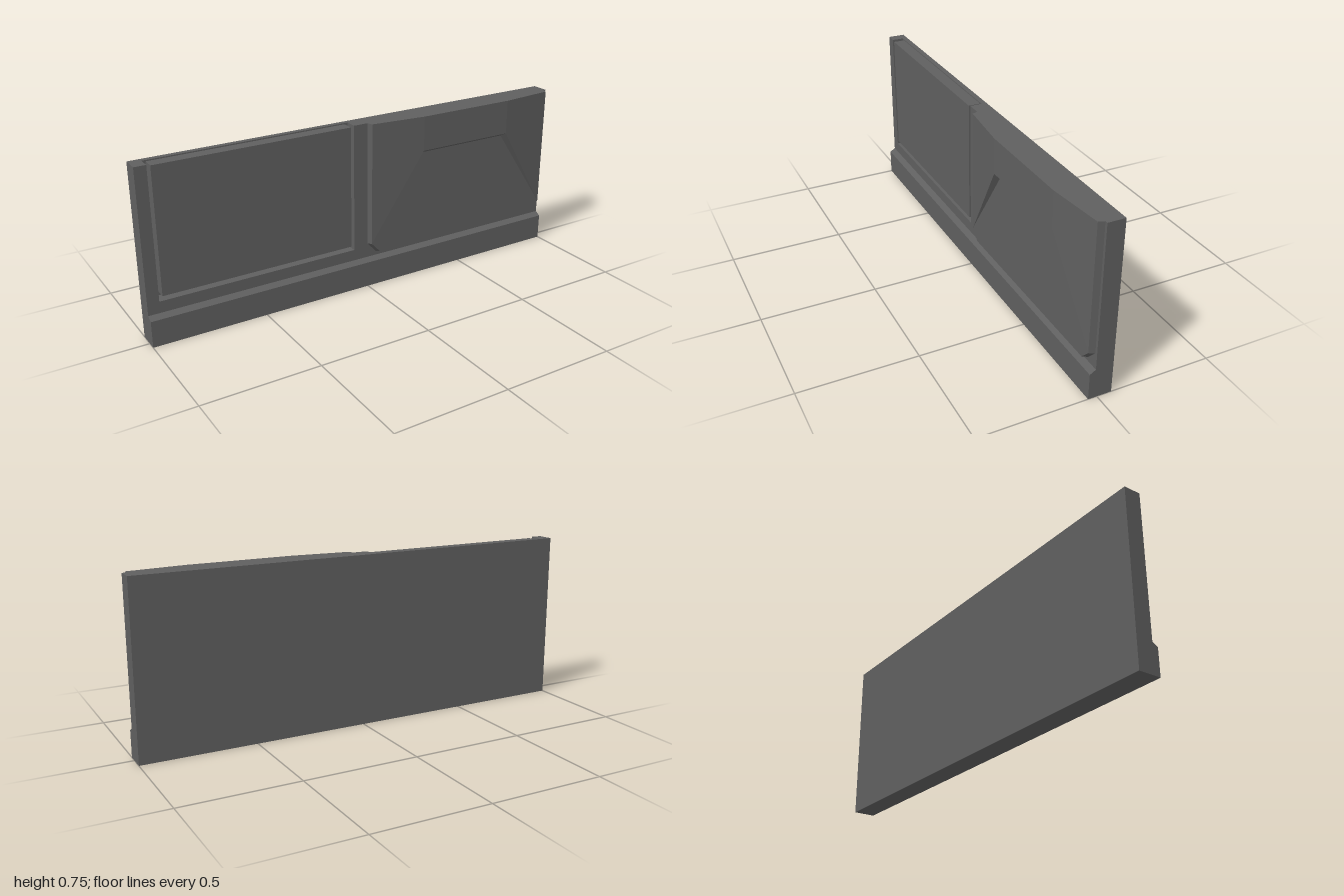
import * as THREE from 'three';

const W = 2, H = 0.75;
const BACK = -0.0625, GROOVE = -0.04, FACE = 0.0125, PAD = 0.0375, CREST = 0.0625;

// Flat-shaded geometry from convex polygons, corners counter-clockwise from outside
function facets(polygons) {
  const pos = [];
  for (const p of polygons) {
    for (let i = 1; i < p.length - 1; i++) pos.push(...p[0], ...p[i], ...p[i + 1]);
  }
  const g = new THREE.BufferGeometry();
  g.setAttribute('position', new THREE.Float32BufferAttribute(pos, 3));
  g.computeVertexNormals();
  return g;
}

function shapeOf(points) {
  return new THREE.Shape(points.map(([x, y]) => new THREE.Vector2(x, y)));
}

export function createModel() {
  const group = new THREE.Group();
  const grey = new THREE.MeshStandardMaterial({ color: 0x5f5f5f });
  grey.name = 'dark grey';

  const add = (name, geometry) => {
    const mesh = new THREE.Mesh(geometry, grey);
    mesh.name = name;
    group.add(mesh);
    return mesh;
  };
  const box = (name, x0, x1, y0, y1, z0, z1) =>
    add(name, new THREE.BoxGeometry(x1 - x0, y1 - y0, z1 - z0))
      .position.set((x0 + x1) / 2, (y0 + y1) / 2, (z0 + z1) / 2);

  // Backing slab
  box('backSlab', -1, 1, 0, H, BACK, GROOVE);

  // Front layer, notched open at the top for the inset panel
  const front = shapeOf([
    [-1, 0], [1, 0], [1, H], [-0.055, H], [-0.055, 0.18], [-0.95, 0.18], [-0.95, H], [-1, H],
  ]);
  add('frontLayer', new THREE.ExtrudeGeometry(front, { depth: FACE - GROOVE, bevelEnabled: false }))
    .position.z = GROOVE;

  // Flush panel surrounded by the groove
  box('insetPanel', -0.935, -0.07, 0.2, 0.745, GROOVE, FACE);

  // Skirting with a sloped top; profile is (-z, y), turned to run along x
  const skirt = shapeOf([[-PAD, 0], [-FACE, 0], [-FACE, 0.13], [-PAD, 0.115]]);
  const skirtGeometry = new THREE.ExtrudeGeometry(skirt, { depth: W, bevelEnabled: false });
  skirtGeometry.rotateY(Math.PI / 2).translate(-1, 0, 0);
  add('skirting', skirtGeometry);

  // Raised pad: bevelled rim, flat lower face and a wedge-sided crest above
  const outer = [[0.012, H], [0.012, 0.196], [0.057, 0.147], [0.943, 0.147], [0.988, 0.196], [0.988, H]]
    .map(([x, y]) => [x, y, FACE]);
  const inner = [[0.02, H], [0.02, 0.2], [0.062, 0.155], [0.938, 0.155], [0.98, 0.2], [0.98, H]]
    .map(([x, y]) => [x, y, PAD]);
  const rim = [];
  for (let i = 0; i < 5; i++) rim.push([outer[i], outer[i + 1], inner[i + 1], inner[i]]);
  add('padRim', facets(rim));

  const stepL = [0.28, 0.58, PAD], stepR = [0.72, 0.58, PAD];
  const lipL = [0.27, 0.595, CREST], lipR = [0.73, 0.595, CREST];
  const topL = [0.27, H, CREST], topR = [0.73, H, CREST];
  add('padLowerFace', facets([[inner[1], inner[2], inner[3], inner[4], stepR, stepL]]));
  add('padCrest', facets([
    [inner[1], lipL, topL, inner[0]],
    [lipL, lipR, topR, topL],
    [lipR, inner[4], inner[5], topR],
    [outer[0], inner[0], topL, topR, inner[5], outer[5]],
  ]));
  add('crestStep', facets([
    [inner[1], stepL, lipL],
    [stepL, stepR, lipR, lipL],
    [stepR, inner[4], lipR],
  ]));

  return group;
}
